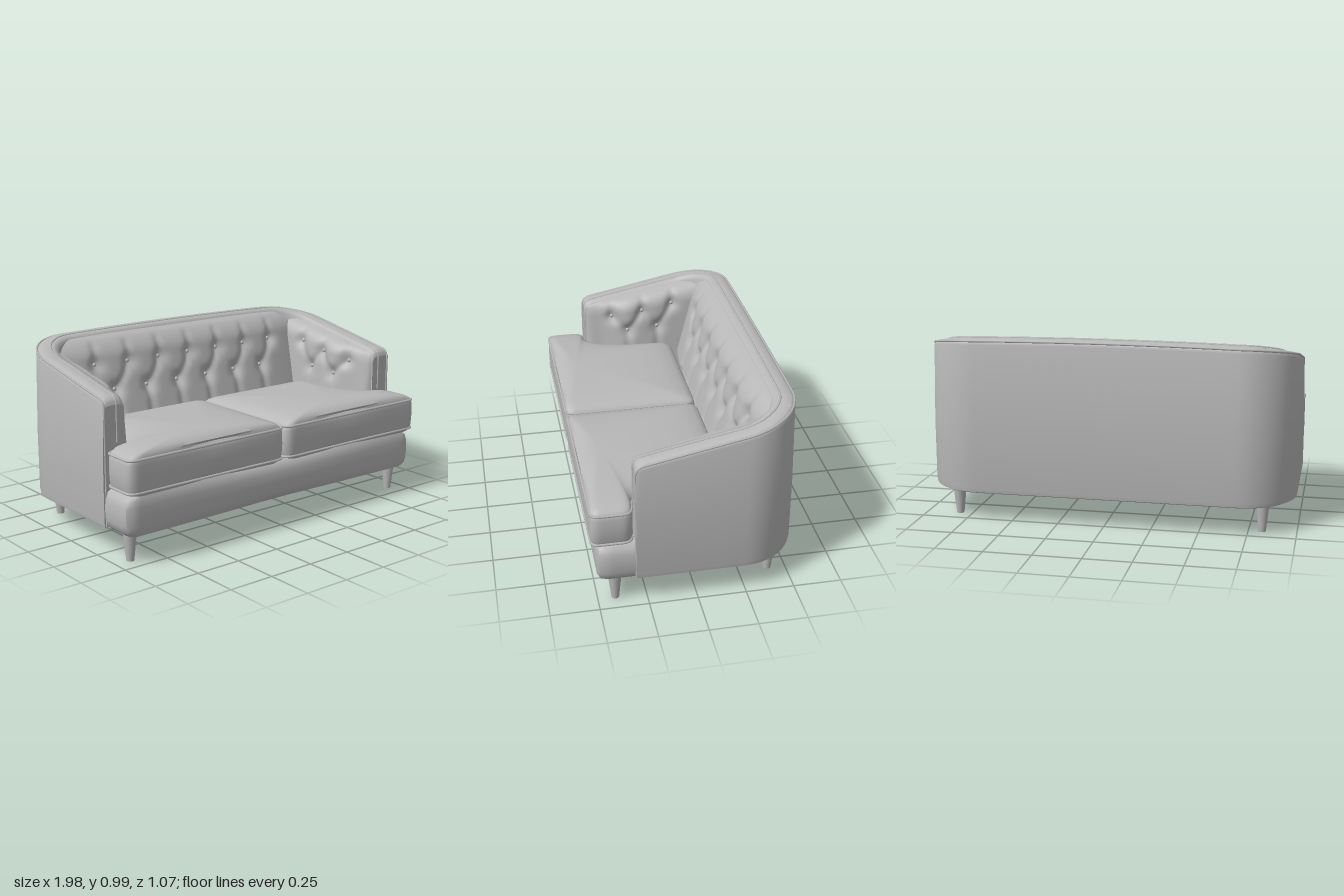
import * as THREE from 'three';
import { mergeVertices, toCreasedNormals } from 'three/addons/utils/BufferGeometryUtils.js';

const W = 0.99, BACK = -0.54, FRONT = 0.31, R = 0.3;
const fabric = new THREE.MeshStandardMaterial({ color: 0xb8b8b8, side: THREE.DoubleSide });
fabric.name = 'grey fabric';

// Grid surface: u runs right and v runs up when seen from its front
function surface(nu, nv, fn, crease) {
  const pos = [], idx = [];
  for (let j = 0; j <= nv; j++) for (let i = 0; i <= nu; i++) pos.push(...fn(i, j));
  for (let j = 0; j < nv; j++) for (let i = 0; i < nu; i++) {
    const a = j * (nu + 1) + i, d = a + nu + 1;
    idx.push(a, a + 1, d + 1, a, d + 1, d);
  }
  let g = new THREE.BufferGeometry();
  g.setAttribute('position', new THREE.Float32BufferAttribute(pos, 3));
  g.setIndex(idx);
  g = mergeVertices(g, 1e-5);
  g.computeVertexNormals();
  return crease ? toCreasedNormals(g, crease) : g;
}

// Closed outline with softened corners, as points in the x-z plane
function outline(corners, r) {
  const s = new THREE.Shape(), p = corners.map(c => new THREE.Vector2(...c));
  p.forEach((c, i) => {
    const toward = q => q.clone().sub(c).setLength(Math.min(r, q.distanceTo(c) * 0.45)).add(c);
    const a = toward(p[(i + p.length - 1) % p.length]), b = toward(p[(i + 1) % p.length]);
    if (i) s.lineTo(a.x, a.y); else s.moveTo(a.x, a.y);
    s.quadraticCurveTo(c.x, c.y, b.x, b.y);
  });
  s.closePath();
  return s.getSpacedPoints(140);
}

// Stack of shrunken outlines; each row is [inset, scale, y]
function loft(pts, cx, cz, rows) {
  return surface(pts.length - 1, rows.length - 1, (i, j) => {
    const [inset, scale, y] = rows[j], dx = pts[i].x - cx, dz = pts[i].y - cz;
    const k = scale * (1 - inset / Math.hypot(dx, dz));
    return [cx + dx * k, y, cz + dz * k];
  }, 0.8);
}

// Sloping height of the arms and back, rounded down at the arm fronts
function topY(x, z) {
  const e = Math.max(0, (z - 0.27) / 0.04);
  const crown = z < -0.5 ? 0.008 * Math.max(0, 1 - (x / 0.7) ** 2) : 0;
  return 0.81 + 0.2 * (0.29 - z) + crown - 0.035 * (1 - Math.sqrt(Math.max(0, 1 - e * e)));
}

// U-shaped footprint with inward normals
function footprint() {
  const p = [];
  for (const t of [0, 0.008, 0.016, 0.025, 0.035, 0.05, 0.08, 0.2, 0.35, 0.5, 0.65, 0.8])
    p.push([W, FRONT - t * (FRONT - BACK - R), -1, 0]);
  for (let i = 0; i <= 16; i++) {
    const a = i / 16 * Math.PI / 2, c = Math.cos(a), s = Math.sin(a);
    p.push([W - R + R * c, BACK + R - R * s, -c, s]);
  }
  for (let i = 1; i <= 8; i++) p.push([(W - R) * (1 - i / 8), BACK, 0, 1]);
  return p.concat(p.slice(0, -1).reverse().map(([x, z, nx, nz]) => [-x, z, -nx, nz]));
}

// Shell section as [inset, y] for a given top height
const section = T => [[0.02, 0.15], [0.004, 0.158], [0, 0.18], [0, 0.5], [0.01, T - 0.03], [0.015, T - 0.012],
  [0.03, T - 0.002], [0.06, T], [0.1, T], [0.12, T - 0.008], [0.13, T - 0.03], [0.13, 0.36]];

const segDist = (x, y, [ax, ay, bx, by]) => {
  const dx = bx - ax, dy = by - ay;
  const t = Math.min(1, Math.max(0, ((x - ax) * dx + (y - ay) * dy) / (dx * dx + dy * dy)));
  return Math.hypot(x - ax - t * dx, y - ay - t * dy);
};

// Depth of button dimples and the folds that join them
function tufting(upper, lower) {
  const folds = [];
  for (const [a, y] of upper) {
    folds.push([a, y, a, y + 0.1]);
    for (const [b, yb] of lower) if (Math.abs(a - b) < 0.16) folds.push([a, y, b, yb]);
  }
  for (const [b, yb] of lower) folds.push([b, yb, b, yb - 0.2]);
  return (a, y) => {
    const hole = [...upper, ...lower].reduce((s, [p, q]) => s + Math.exp(-((a - p) ** 2 + (y - q) ** 2) / 0.0016), 0);
    const fold = Math.min(...folds.map(f => segDist(a, y, f)));
    return 0.026 * hole + 0.013 * Math.exp(-((fold / 0.022) ** 2));
  };
}

const shoulder = v => Math.sqrt(Math.max(0, 1 - (Math.max(0, v - 0.75) / 0.25) ** 2));

export function createModel() {
  const model = new THREE.Group();
  const add = (name, geo, parent = model) => {
    const m = new THREE.Mesh(geo, fabric);
    m.name = name;
    parent.add(m);
    return m;
  };
  const piping = (name, pts, closed, r = 0.007) => add(name, new THREE.TubeGeometry(
    new THREE.CatmullRomCurve3(pts.map(p => new THREE.Vector3(...p)), closed), pts.length * 2, r, 6, closed));

  // Wrap-around arms and back
  const path = footprint(), rows = section(1).length;
  add('armAndBackShell', surface(path.length - 1, rows - 1, (i, j) => {
    const [x, z, nx, nz] = path[i], [d, y] = section(topY(x, z))[j];
    return [x + nx * d, y, z + nz * d];
  }, 0.9));
  for (const s of [1, -1]) {
    const face = new THREE.Shape(section(topY(W, FRONT)).map(([d, y]) => new THREE.Vector2(s * (W - d), y)));
    add('armFront', new THREE.ShapeGeometry(face).translate(0, 0, FRONT));
  }
  const floor = new THREE.Shape(path.map(([x, z, nx, nz]) => new THREE.Vector2(x + nx * 0.02, z + nz * 0.02)));
  add('underside', new THREE.ShapeGeometry(floor).rotateX(Math.PI / 2).translate(0, 0.15, 0));

  // Piping along both rims, running down the arm fronts
  for (const [d, drop, low] of [[0.014, 0.01, 0.16], [0.085, 0, 0.58]]) {
    const rim = path.map(([x, z, nx, nz]) => [x + nx * d, topY(x, z) - drop, z + nz * d]);
    const leg = s => [0.02, 0.3, 0.6, 1].map(t => {
      const y0 = topY(W, FRONT) - drop;
      return [s * (W - d), y0 + (low - y0) * t, FRONT];
    });
    piping('rimPiping', [...leg(1).reverse(), ...rim, ...leg(-1)], false, 0.006);
  }

  // Tufted pads
  const pad = (name, n, a0, a1, top, place, upper, lower) => {
    const g = new THREE.Group(), dent = tufting(upper, lower);
    g.name = name;
    model.add(g);
    const at = (a, v) => {
      const y = 0.5 + v * (top(a) - 0.5);
      return place(a, y, v, dent(a, y) * shoulder(v));
    };
    add(name + 'Cover', surface(n, 36, (i, j) => at(a0 + (a1 - a0) * i / n, j / 36)), g);
    for (const [a, y] of [...upper, ...lower])
      add('button', new THREE.SphereGeometry(0.012, 10, 8), g).position.set(...at(a, (y - 0.5) / (top(a) - 0.5)));
  };
  pad('backPad', 120, -0.83, 0.83, () => 0.968,
    (x, y, v, dent) => [x, y, -0.43 + shoulder(v) * (0.1 + 0.12 * (1 - v)) - 0.04 * (x / 0.8) ** 4 - dent],
    [-3, -2, -1, 0, 1, 2, 3].map(i => [i * 0.205, 0.815]),
    [-2.5, -1.5, -0.5, 0.5, 1.5, 2.5].map(i => [i * 0.207, 0.675]));
  for (const s of [1, -1]) {
    pad(s > 0 ? 'leftArmPad' : 'rightArmPad', 60, s > 0 ? -0.42 : 0.31, s > 0 ? 0.31 : -0.42,
      z => topY(W, z) - 0.012,
      (z, y, v, dent) => {
        const end = Math.sqrt(Math.max(0, 1 - (Math.max(0, z - 0.25) / 0.06) ** 2));
        const thick = 0.03 + 0.07 * (1 - THREE.MathUtils.smoothstep(z, 0.04, 0.28));
        return [s * (0.875 - end * (shoulder(v) * thick + 0.025 * (1 - v) - dent * 0.8)), y, z];
      },
      [[0.15, 0.73], [-0.03, 0.765], [-0.21, 0.8]], [[0.06, 0.645], [-0.12, 0.66]]);
  }

  // Seat base
  const base = outline([[-0.985, -0.2], [-0.985, 0.505], [0.985, 0.505], [0.985, -0.2]], 0.05);
  add('seatBase', loft(base, 0, 0.15, [[0, 0, 0.15], [0.03, 1, 0.15], [0.012, 1, 0.168], [0.003, 1, 0.2],
    [0, 1, 0.25], [0.003, 1, 0.3], [0.014, 1, 0.335], [0.04, 1, 0.355], [0, 0, 0.36]]));

  // Seat cushions that wrap in front of the arms
  const half = [[0.006, -0.2], [0.006, 0.532], [0.985, 0.532], [0.985, 0.325],
    [0.87, 0.315], [0.8, 0.2], [0.765, 0.05], [0.75, -0.2]];
  const profile = [[0, 0, 0.365], [0.04, 1, 0.362], [0.012, 1, 0.375], [0.004, 1, 0.4], [0, 1, 0.46], [0.002, 1, 0.52],
    [0.008, 1, 0.545], [0.022, 1, 0.557], [0, 0.92, 0.57], [0, 0.8, 0.584], [0, 0.6, 0.597], [0, 0.3, 0.604], [0, 0, 0.606]];
  for (const s of [1, -1]) {
    const corners = s > 0 ? half : half.map(([x, z]) => [-x, z]).reverse();
    const pts = outline(corners, 0.045);
    add(s > 0 ? 'leftSeatCushion' : 'rightSeatCushion', loft(pts, s * 0.45, 0.41, profile));
    for (const y of [0.545, 0.38])
      piping('cushionPiping', pts.slice(0, -1).map(p => [s * 0.45 + (p.x - s * 0.45) * 0.992, y, 0.41 + (p.y - 0.41) * 0.97]), true);
  }

  // Tapered legs
  for (const s of [1, -1]) for (const [x, z] of [[0.91, 0.41], [0.82, -0.405]])
    add('leg', new THREE.CylinderGeometry(0.037, 0.02, 0.16, 16)).position.set(s * x, 0.08, z);

  return model;
}
